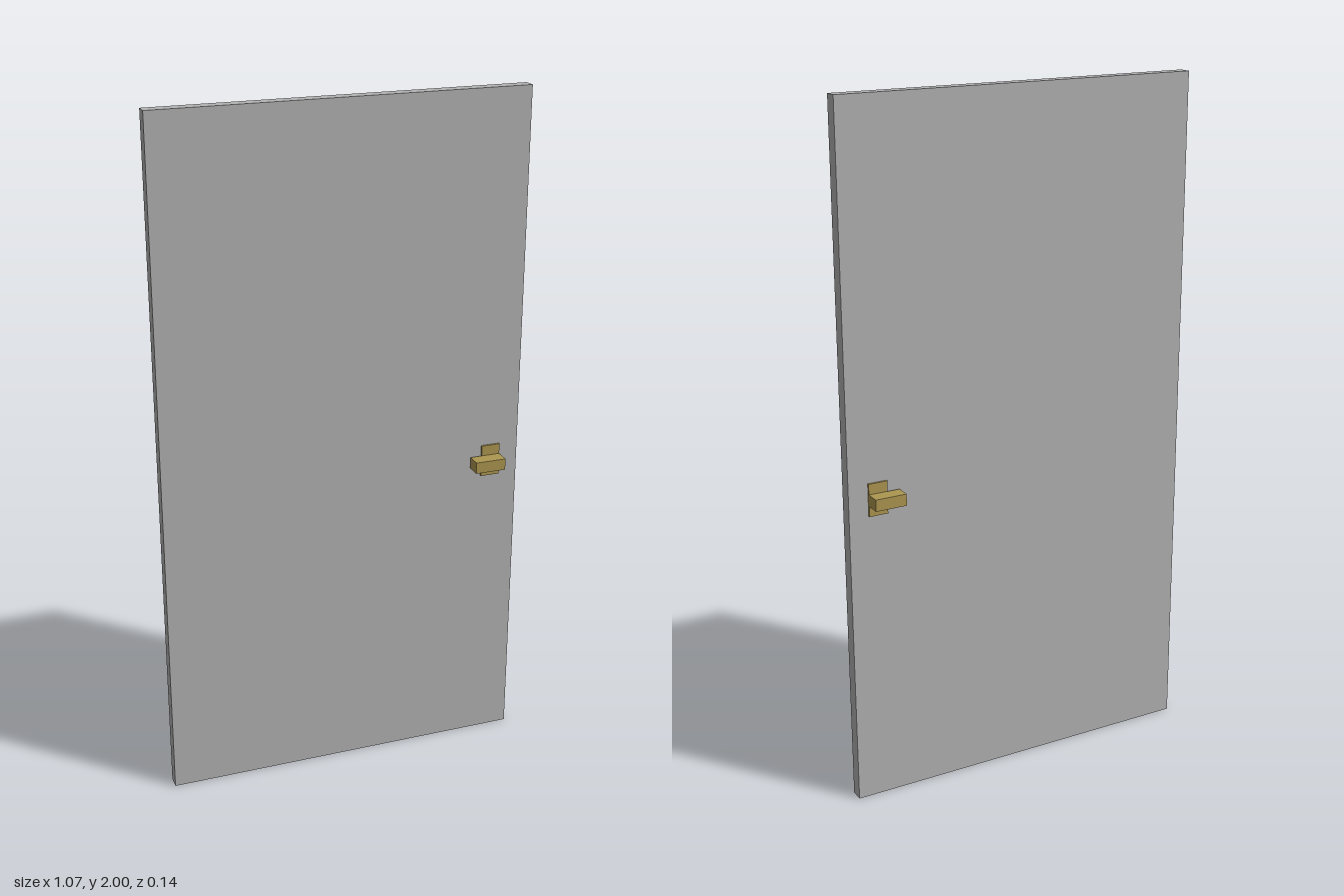
import * as THREE from 'three';

export function createModel() {
  const model = new THREE.Group();
  model.name = 'door';

  const grey = new THREE.MeshStandardMaterial({ color: 0xb2b2b2 });
  grey.name = 'door grey';
  const brass = new THREE.MeshStandardMaterial({ color: 0xac9650 });
  brass.name = 'brass';

  // Adds a box given by its centre and size
  function addBox(parent, name, material, [w, h, d], [x, y, z]) {
    const mesh = new THREE.Mesh(new THREE.BoxGeometry(w, h, d), material);
    mesh.name = name;
    mesh.position.set(x, y, z);
    parent.add(mesh);
  }

  // Door slab
  addBox(model, 'doorPanel', grey, [1.074, 2, 0.038], [0, 1, 0]);

  // Same handle on both faces: a thin plate with a lever block
  for (const side of [1, -1]) {
    const handle = new THREE.Group();
    handle.name = side > 0 ? 'frontHandle' : 'backHandle';
    addBox(handle, 'handlePlate', brass, [0.056, 0.095, 0.006], [0.451, 0.913, side * 0.022]);
    addBox(handle, 'handleLever', brass, [0.092, 0.034, 0.044], [0.433, 0.913, side * 0.047]);
    model.add(handle);
  }

  return model;
}
